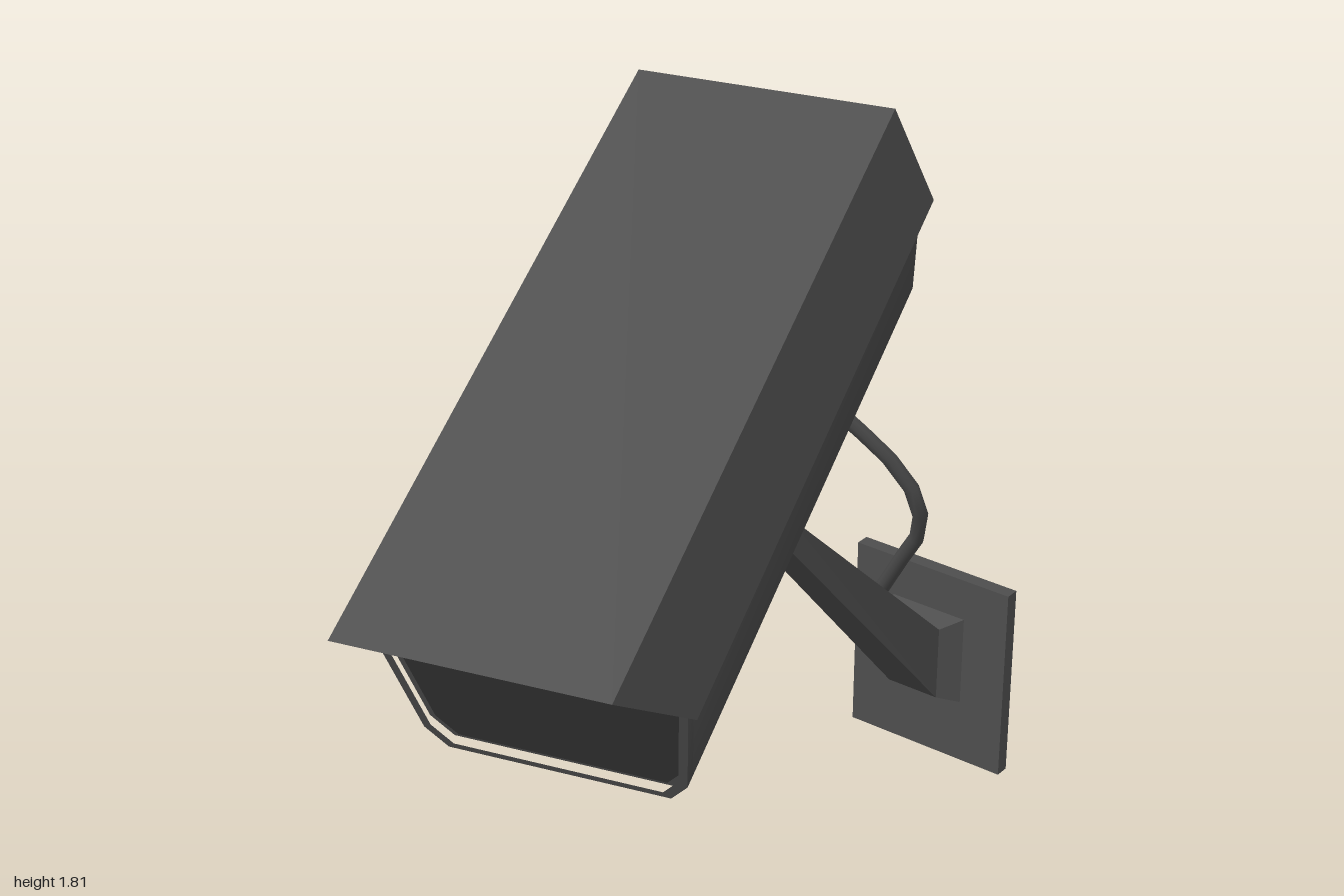
import * as THREE from 'three';
import { toCreasedNormals } from 'three/addons/utils/BufferGeometryUtils.js';

const grey = new THREE.MeshStandardMaterial({ color: 0x4e4e4e });
grey.name = 'dark grey paint';
const glass = new THREE.MeshStandardMaterial({ color: 0x353535 });
glass.name = 'dark window';

function add(parent, name, geometry, material = grey) {
  const mesh = new THREE.Mesh(geometry, material);
  mesh.name = name;
  parent.add(mesh);
  return mesh;
}

const toPoints = (list) => list.map(([x, y]) => new THREE.Vector2(x, y));

// Mirrors a half profile (top to bottom) into a closed loop
const mirrored = (half) => [...half, ...half.map(([z, y]) => [-z, y]).reverse()];

// Extrudes a cross-section along x between two stations
function prism(loop, x0, x1, hole) {
  const shape = new THREE.Shape(toPoints(loop));
  if (hole) shape.holes.push(new THREE.Path(toPoints(hole)));
  const g = new THREE.ExtrudeGeometry(shape, { depth: x1 - x0, bevelEnabled: false });
  return g.rotateY(Math.PI / 2).translate(x0, 0, 0);
}

// Lofts rectangular sections [topX, topY, bottomX, bottomY, halfWidth]
function rectLoft(sections, zc) {
  const pos = [];
  const idx = [];
  for (const [tx, ty, bx, by, h] of sections) {
    pos.push(tx, ty, zc + h, tx, ty, zc - h, bx, by, zc - h, bx, by, zc + h);
  }
  for (let s = 0; s < sections.length - 1; s++) {
    for (let k = 0; k < 4; k++) {
      const a = s * 4 + k;
      const b = s * 4 + (k + 1) % 4;
      idx.push(a, a + 4, b, b, a + 4, b + 4);
    }
  }
  const e = (sections.length - 1) * 4;
  idx.push(0, 1, 2, 0, 2, 3, e, e + 2, e + 1, e, e + 3, e + 2);
  const g = new THREE.BufferGeometry();
  g.setAttribute('position', new THREE.Float32BufferAttribute(pos, 3));
  g.setIndex(idx);
  const flat = g.toNonIndexed();
  flat.computeVertexNormals();
  return flat;
}

export function createModel() {
  const model = new THREE.Group();
  model.name = 'securityCamera';

  // Housing frame: origin at the middle of the roof, local x runs front to back
  const housing = new THREE.Group();
  housing.name = 'housing';
  housing.position.set(-0.2075, 1.5075, 0.039);
  housing.rotation.set(0, THREE.MathUtils.degToRad(14.8), THREE.MathUtils.degToRad(22.5), 'YZX');
  model.add(housing);

  // Sunshield roof: folded sheet with raked front edges
  const roofLoop = [
    ...[[-0.354, -0.254], [-0.2925, 0], [0.2925, 0], [0.354, -0.254]],
    ...[[0.336, -0.254], [0.278, -0.018], [-0.278, -0.018], [-0.336, -0.254]],
  ];
  const roof = prism(roofLoop, -0.803, 0.803);
  const p = roof.attributes.position;
  for (let i = 0; i < p.count; i++) {
    if (p.getX(i) < 0) p.setX(i, p.getX(i) - 0.685 * p.getY(i));
  }
  roof.computeVertexNormals();
  add(housing, 'sunshield', roof);

  // Body with a raised rim around the front window
  const body = mirrored([[0.275, -0.016], [0.333, -0.25], [0.29, -0.513], [0.246, -0.567]]);
  const inner = body.map(([z, y]) => [z * 0.94, -0.3 + (y + 0.3) * 0.94]);
  add(housing, 'body', toCreasedNormals(prism(body, -0.59, 0.775), 0.7));
  add(housing, 'frontRim', toCreasedNormals(prism(body, -0.62, -0.59, inner), 0.7));
  add(housing, 'frontWindow', prism(inner, -0.596, -0.589), glass);

  // Knuckle block under the body
  const knuckle = new THREE.ExtrudeGeometry(new THREE.Shape(toPoints([
    [-0.165, 0.01], [-0.165, -0.02], [-0.1, -0.085], [0, -0.1], [0.05, -0.06], [0.07, 0.01],
  ])), { depth: 0.15, bevelEnabled: false });
  add(housing, 'knuckle', knuckle).position.set(0.25, -0.567, 0.015);

  // Ball joint
  add(model, 'ballJoint', new THREE.SphereGeometry(0.075, 24, 16)).position.set(0.257, 0.93, 0.022);

  // Arm widening into a foot at the wall
  add(model, 'arm', rectLoft([
    [0.3, 0.95, 0.255, 0.92, 0.05],
    [0.91, 0.38, 0.91, 0.19, 0.068],
    [0.97, 0.395, 0.97, 0.16, 0.105],
  ], 0.027));

  // Wall plate
  add(model, 'wallPlate', new THREE.BoxGeometry(0.035, 0.5, 0.43)).position.set(0.9825, 0.25, 0.033);

  // Cable from the body to the arm
  const path = new THREE.CatmullRomCurve3([
    [0.43, 1.17, 0.1], [0.55, 1.01, 0.18], [0.61, 0.9, 0.21],
    [0.67, 0.78, 0.18], [0.71, 0.67, 0.11], [0.76, 0.51, 0.01],
  ].map((v) => new THREE.Vector3(...v)));
  add(model, 'cable', new THREE.TubeGeometry(path, 8, 0.018, 8));

  return model;
}
